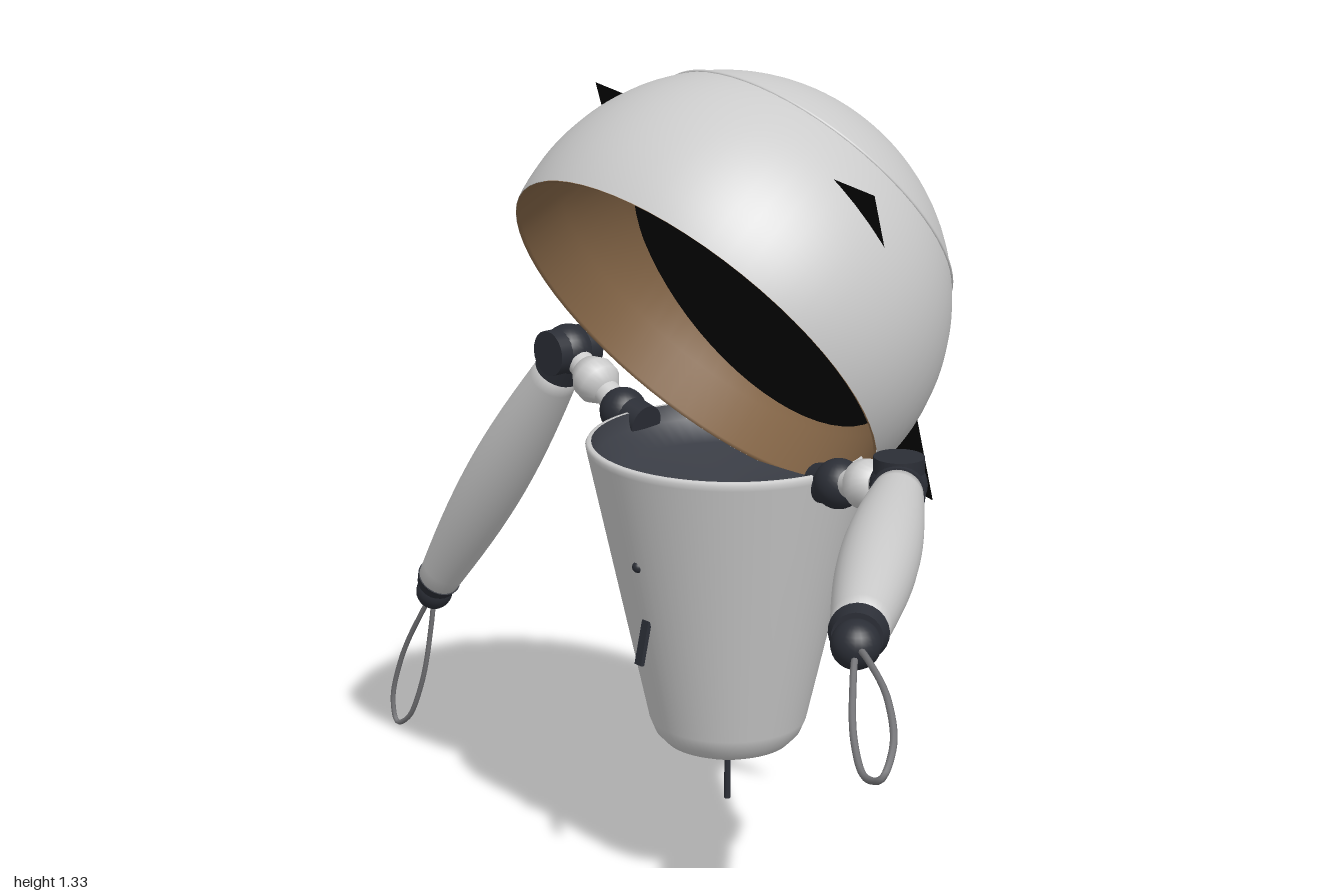
import * as THREE from 'three';

const V = (x, y, z) => new THREE.Vector3(x, y, z);
const UP = V(0, 1, 0);
const mat = (color) => new THREE.MeshStandardMaterial({ color, side: THREE.DoubleSide });

export function createModel() {
  const group = new THREE.Group();
  const shell = mat(0xcccccc), dark = mat(0x2b2e36), black = mat(0x060606);
  const tan = mat(0x8a6a4a), steel = mat(0x77777a), inner = mat(0x3a3d45);

  function add(name, geometry, material, pos = V(0, 0, 0), axis = UP, parent = group) {
    const mesh = new THREE.Mesh(geometry, material);
    mesh.name = name;
    mesh.position.copy(pos);
    mesh.quaternion.setFromUnitVectors(UP, axis.clone().normalize());
    parent.add(mesh);
    return mesh;
  }
  const lathe = (pts, seg = 48) =>
    new THREE.LatheGeometry(pts.map(([r, y]) => new THREE.Vector2(r, y)), seg);
  const ball = (r) => new THREE.SphereGeometry(r, 24, 16);
  // a turned part running from a to b
  function rod(name, a, b, r0, r1, material, parent = group) {
    const d = b.clone().sub(a);
    return add(name, new THREE.CylinderGeometry(r1, r0, d.length(), 24), material,
      a.clone().add(b).multiplyScalar(0.5), d, parent);
  }

  // Head: open sphere facing forward and down, with a recessed lining
  const C = V(-0.045, 0.99, -0.165);
  const facing = V(0, -0.627, 0.779);
  add('headShell', new THREE.SphereGeometry(0.34, 64, 40, 0, Math.PI * 2, 1.349, Math.PI - 1.349), shell, C, facing);
  add('headLining', lathe([[0.331, 0.075], [0.324, 0.072], [0.305, 0], [0.276, -0.08], [0.19, -0.2], [0, -0.25]], 64),
    tan, C, facing);

  // Seam around the rear cap of the head
  const capAxis = V(0, 0.643, -0.766);
  const seam = new THREE.TorusGeometry(0.2655, 0.003, 8, 80).rotateX(Math.PI / 2);
  add('headSeam', seam, shell, C.clone().addScaledVector(capAxis, 0.212), capAxis);

  // Flat square visor whose corners poke through the shell
  const visor = new THREE.PlaneGeometry(1, 1);
  [[-0.28, 1.29], [0.285, 1.205], [-0.39, 0.79], [0.17, 0.68]].forEach(([x, y], i) =>
    visor.attributes.position.setXYZ(i, x, y, -0.17 + (y - 1.17) * 0.475));
  visor.computeVertexNormals();
  add('visor', visor, black);

  // Body: tapered bucket with rounded base and dark interior
  const B = V(-0.08, 0, -0.212);
  add('body', lathe([[0, 0.25], [0.04, 0.251], [0.075, 0.256], [0.1, 0.267], [0.115, 0.283], [0.124, 0.305],
    [0.2205, 0.742], [0.222, 0.75], [0.219, 0.755], [0.213, 0.755]], 64), shell, B);
  add('bodyInterior', lathe([[0.213, 0.755], [0.205, 0.73], [0.17, 0.7], [0, 0.68]], 64), inner, B);
  rod('basePin', V(B.x, 0.16, B.z), V(B.x, 0.27, B.z), 0.005, 0.005, dark);
  add('chestDot', ball(0.009), dark, V(B.x, 0.59, -0.028));
  const lever = add('chestLever', new THREE.BoxGeometry(0.015, 0.07, 0.007), dark, V(B.x, 0.465, -0.038));
  lever.rotation.x = -0.22;

  // Arms: shoulder, pale link, elbow, swelling sleeve, wrist and loop hand
  function arm(name, p) {
    const g = new THREE.Group();
    g.name = name;
    group.add(g);
    const linkAxis = p.elbow.clone().sub(p.shoulder);
    add('shoulder', ball(0.038), dark, p.shoulder, UP, g);
    rod('shoulderMount', V(B.x + Math.sign(p.shoulder.x) * 0.2, 0.735, B.z), p.shoulder, 0.03, 0.032, dark, g);
    const mid = p.shoulder.clone().lerp(p.elbow, 0.5);
    rod('linkCore', p.shoulder, p.elbow, 0.022, 0.022, shell, g);
    add('link', lathe([[0, -0.036], [0.024, -0.032], [0.037, -0.012], [0.037, 0.01], [0.024, 0.032], [0, 0.036]], 24),
      shell, mid, linkAxis, g);
    add('elbow', ball(0.042), dark, p.elbow, UP, g);
    const hinge = V(0, 0, 1).cross(p.end.clone().sub(p.start)).lengthSq() > 0.3 ? V(0, 0, 1) : UP;
    add('elbowHinge', new THREE.CylinderGeometry(0.037, 0.037, 0.085, 24), dark, p.elbow, hinge, g);

    const d = p.end.clone().sub(p.start), L = d.length(), profile = [[0, 0]];
    for (let i = 0; i <= 16; i++) profile.push([0.036 + 0.018 * Math.sin(Math.PI * i / 16), L * i / 16]);
    profile.push([0, L]);
    add('sleeve', lathe(profile, 32), shell, p.start, d, g);
    rod('upperCollar', p.elbow, p.start.clone().addScaledVector(d, 0.02), 0.036, 0.04, dark, g);
    rod('lowerCollar', p.end.clone().addScaledVector(d, -0.01), p.end.clone().addScaledVector(d, 0.025),
      0.039, 0.033, dark, g);
    add('wrist', ball(0.032), dark, p.wrist, UP, g);

    const along = p.tip.clone().sub(p.wrist);
    const at = (t, w) => p.wrist.clone().addScaledVector(along, t).addScaledVector(p.side, w);
    const loop = new THREE.CatmullRomCurve3([at(0.05, 0), at(0.3, 0.022), at(0.6, 0.034), at(0.88, 0.026),
      at(0.985, 0), at(0.88, -0.026), at(0.6, -0.034), at(0.3, -0.022)], true);
    add('handLoop', new THREE.TubeGeometry(loop, 80, 0.0045, 8, true), steel, V(0, 0, 0), UP, g);
  }
  arm('rightArm', {
    shoulder: V(-0.335, 0.745, -0.21), elbow: V(-0.48, 0.815, -0.215),
    start: V(-0.5, 0.785, -0.215), end: V(-0.856, 0.318, -0.215),
    wrist: V(-0.868, 0.293, -0.215), tip: V(-0.992, 0.004, -0.212), side: V(0.92, -0.39, 0),
  });
  arm('leftArm', {
    shoulder: V(0.165, 0.745, -0.21), elbow: V(0.315, 0.785, -0.185),
    start: V(0.34, 0.785, -0.16), end: V(0.72, 0.785, 0.28),
    wrist: V(0.745, 0.785, 0.308), tip: V(0.998, 0.74, 0.505), side: V(0.42, 0.75, -0.4),
  });

  // Cable from the right elbow to the back of the body
  const cable = new THREE.CatmullRomCurve3([V(-0.42, 0.77, -0.24), V(-0.447, 0.72, -0.29), V(-0.425, 0.655, -0.345),
    V(-0.36, 0.605, -0.375), V(-0.27, 0.582, -0.385), V(-0.18, 0.595, -0.36)]);
  add('cable', new THREE.TubeGeometry(cable, 40, 0.006, 8), black);

  return group;
}
